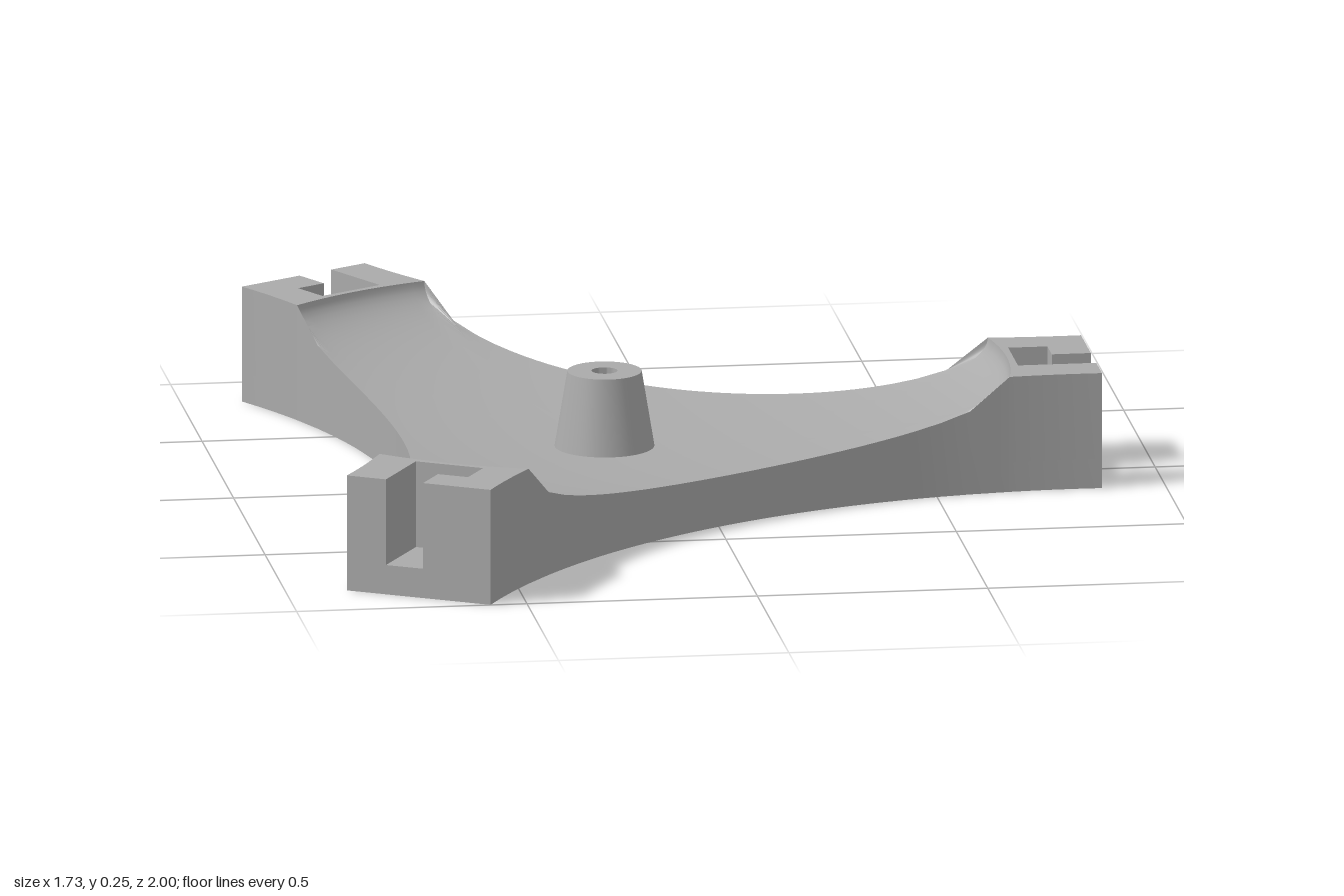
import * as THREE from 'three';
import { toCreasedNormals } from 'three/addons/utils/BufferGeometryUtils.js';

const TOP = 0.255;          // height of arm ends and post
const RIM = 0.873;          // radius of the dished area
const END = 1.057;          // distance from hub to arm end
const HALF = 0.167;         // half width of an arm end
const WAIST = 0.435;        // hub to the middle of each concave side
const HOLE = 0.028;
const SLOT_FLOOR = 0.065;
const HUB_X = -0.195;
const SIXTH = Math.PI / 3;

// Concave side: circle through the waist and the arm end corners
const along = END * 0.5 + HALF * Math.sin(SIXTH);
const across = END * Math.sin(SIXTH) - HALF * 0.5;
const sag = along - WAIST;
const RHO = (across * across + sag * sag) / (2 * sag);
const D = WAIST + RHO;
const sideRadius = (phi) => D * Math.cos(phi) - Math.sqrt(RHO * RHO - (D * Math.sin(phi)) ** 2);
const rimPhi = Math.acos((D * D + RIM * RIM - RHO * RHO) / (2 * D * RIM));
const endPhi = Math.atan2(across, along);
const rimAngle = SIXTH - rimPhi;

// Ellipsoidal dish
const dishY = (r) => TOP - 0.167 * Math.sqrt(Math.max(0, 1 - (r / RIM) ** 2));

const ARM_STEPS = 12;
const SIDE_STEPS = 48;

// Outline of the dished plate as [angle, radius] all the way round
function plateOutline() {
  const out = [];
  for (let s = 0; s < 3; s++) {
    const base = s * 2 * SIXTH;
    for (let i = 0; i < ARM_STEPS; i++) out.push([base + rimAngle * (2 * i / ARM_STEPS - 1), RIM]);
    for (let i = 0; i < SIDE_STEPS; i++) {
      const phi = rimPhi * (2 * i / SIDE_STEPS - 1);
      out.push([base + SIXTH + phi, sideRadius(phi)]);
    }
  }
  return out;
}

// Rows run from the centre over the dish, down the wall and back underneath
function plateGeometry() {
  const outline = plateOutline();
  const n = outline.length;
  const rings = 24;
  const pos = [];
  const index = [];
  const addRow = (fr, fy) => {
    for (const [a, R] of outline) {
      const r = fr(R);
      pos.push(r * Math.cos(a), fy(r), r * Math.sin(a));
    }
  };
  for (let i = 0; i <= rings; i++) {
    const t = Math.sin((i / rings) * Math.PI / 2);
    addRow((R) => HOLE + (R - HOLE) * t, dishY);
  }
  addRow((R) => R, () => 0);
  addRow(() => HOLE, () => 0);
  for (let i = 0; i < rings + 2; i++) {
    for (let j = 0; j < n; j++) {
      const a = i * n + j, b = i * n + (j + 1) % n;
      index.push(a, b, a + n, b, b + n, a + n);
    }
  }
  const g = new THREE.BufferGeometry();
  g.setAttribute('position', new THREE.Float32BufferAttribute(pos, 3));
  g.setIndex(index);
  return toCreasedNormals(g, 0.6);
}

// Plan of one arm end, with or without the hooked slot
function armShape(slotted) {
  const pts = [];
  const steps = 10;
  for (let i = 0; i <= ARM_STEPS; i++) {
    const a = rimAngle * (1 - 2 * i / ARM_STEPS);
    pts.push([RIM * Math.cos(a), RIM * Math.sin(a)]);
  }
  const edge = [];
  for (let i = 1; i <= steps; i++) {
    const phi = rimPhi + (endPhi - rimPhi) * i / steps;
    const r = sideRadius(phi), a = SIXTH - phi;
    edge.push([r * Math.cos(a), r * Math.sin(a)]);
  }
  pts.push(...edge.map(([x, z]) => [x, -z]));
  if (slotted) {
    pts.push([END, -0.01], [0.972, -0.01], [0.972, -0.08], [0.887, -0.08], [0.887, 0.076], [END, 0.076]);
  }
  pts.push(...edge.reverse());
  return new THREE.Shape(pts.map(([x, z]) => new THREE.Vector2(x, z)));
}

function slab(shape, top, bottom) {
  const g = new THREE.ExtrudeGeometry(shape, { depth: top - bottom, bevelEnabled: false });
  g.rotateX(Math.PI / 2);
  g.translate(0, top, 0);
  return toCreasedNormals(g, 0.5);
}

export function createModel() {
  const grey = new THREE.MeshStandardMaterial({ color: 0xaaaaaa });
  grey.name = 'grey';

  const model = new THREE.Group();
  model.name = 'threeArmedBase';
  const add = (parent, geometry, name) => {
    const m = new THREE.Mesh(geometry, grey);
    m.name = name;
    parent.add(m);
    return m;
  };

  // Dished plate
  add(model, plateGeometry(), 'dishedPlate');

  // Tapered post with a hole through to the underside
  const profile = [[0.109, 0.08], [0.08, TOP], [HOLE, TOP], [HOLE, 0]].map(([x, y]) => new THREE.Vector2(x, y));
  add(model, toCreasedNormals(new THREE.LatheGeometry(profile, 48), 0.6), 'centrePost');

  // Arm ends with hooked slots
  const upper = slab(armShape(true), TOP, SLOT_FLOOR);
  const lower = slab(armShape(false), SLOT_FLOOR, 0);
  for (let i = 0; i < 3; i++) {
    const arm = new THREE.Group();
    arm.name = 'armEnd' + (i + 1);
    add(arm, upper, 'slottedBlock');
    add(arm, lower, 'slotFloor');
    arm.rotation.y = -i * 2 * SIXTH;
    model.add(arm);
  }

  // Offset so the whole footprint is centred
  model.children.forEach((c) => { c.position.x = HUB_X; });
  return model;
}
